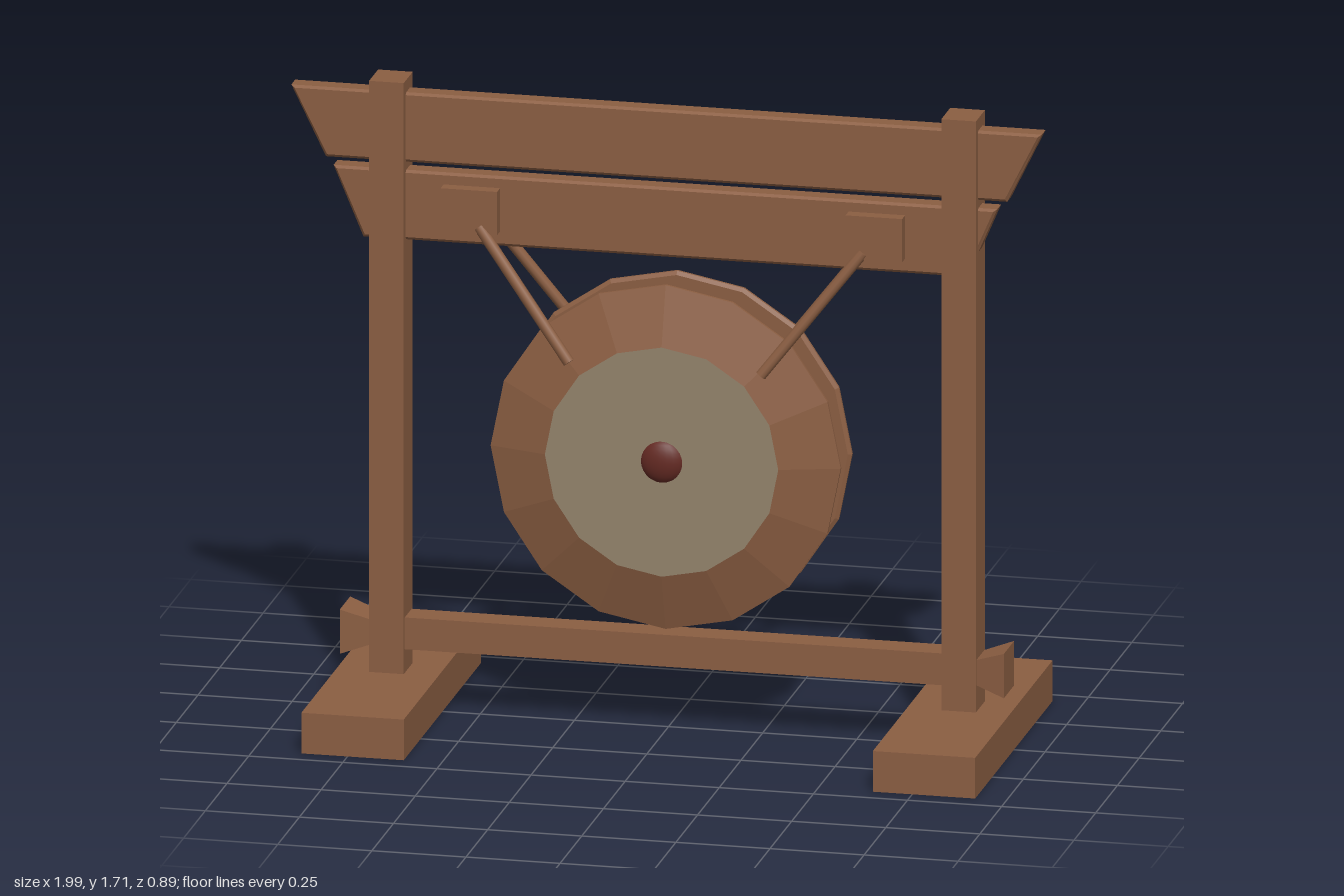
import * as THREE from 'three';

export function createModel() {
  const root = new THREE.Group();
  root.name = 'hangingGong';

  const mat = (name, color, side = THREE.FrontSide) => {
    const m = new THREE.MeshStandardMaterial({ color, side });
    m.name = name;
    return m;
  };
  const wood = mat('wood', 0x8b5e42, THREE.DoubleSide);
  const hide = mat('paleFace', 0x93836c);
  const red = mat('darkRed', 0x642a23);

  const add = (parent, name, geometry, material, x = 0, y = 0, z = 0) => {
    const mesh = new THREE.Mesh(geometry, material);
    mesh.name = name;
    mesh.position.set(x, y, z);
    parent.add(mesh);
    return mesh;
  };
  const flat = (geometry) => {
    const g = geometry.index ? geometry.toNonIndexed() : geometry;
    g.computeVertexNormals();
    return g;
  };

  // Foot: box with an open underside
  const footGeometry = () => {
    const g = new THREE.BoxGeometry(0.272, 0.11, 0.892);
    const index = Array.from(g.index.array);
    index.splice(18, 6);
    g.setIndex(index);
    g.clearGroups();
    return g;
  };

  // Rail end: block that flares outwards along +x
  const flareGeometry = () => {
    const g = new THREE.BoxGeometry(0.08, 0.12, 0.12);
    const p = g.attributes.position;
    for (let i = 0; i < p.count; i++) {
      if (p.getX(i) < 0) p.setXYZ(i, p.getX(i), p.getY(i) * 0.55, p.getZ(i) * 0.75);
    }
    return flat(g);
  };

  // Beam: trapezoid board with bevelled edges, wider at the top
  const beamGeometry = (topHalf, bottomHalf, y0, y1) => {
    const b = 0.008;
    const s = new THREE.Shape([
      new THREE.Vector2(-bottomHalf + b, y0 + b),
      new THREE.Vector2(bottomHalf - b, y0 + b),
      new THREE.Vector2(topHalf - 1.6 * b, y1 - b),
      new THREE.Vector2(-topHalf + 1.6 * b, y1 - b),
    ]);
    const g = new THREE.ExtrudeGeometry(s, {
      depth: 0.044, bevelEnabled: true, bevelSize: b, bevelThickness: b, bevelSegments: 1,
    });
    g.translate(0, 0, -0.022);
    return g;
  };

  // Frame
  const cx = 0.0225;
  const frame = new THREE.Group();
  frame.name = 'frame';
  root.add(frame);
  add(frame, 'upperBeam', beamGeometry(1, 0.908, 1.488, 1.678), wood);
  add(frame, 'lowerBeam', beamGeometry(0.885, 0.805, 1.278, 1.468), wood, -0.003);
  add(frame, 'bottomRail', new THREE.BoxGeometry(1.6, 0.086, 0.08), wood, cx, 0.217, 0);
  for (const s of [-1, 1]) {
    add(frame, 'foot', footGeometry(), wood, cx + s * 0.759, 0.055, 0);
    add(frame, 'post', new THREE.BoxGeometry(0.092, 1.6, 0.104), wood, cx + s * 0.76, 0.909, 0);
    const flare = add(frame, 'railEnd', flareGeometry(), wood, cx + s * 0.842, 0.216, 0);
    if (s < 0) flare.rotation.y = Math.PI;
    add(frame, 'hangerBlock', new THREE.BoxGeometry(0.15, 0.117, 0.134), wood, cx + s * 0.538, 1.377, -0.002);
  }

  // Gong: two sixteen-sided shells back to back, each with a face and a boss
  const profile = [[0, 0.056], [0.455, 0.056], [0.465, 0.062], [0.465, 0.07], [0.31, 0.117]]
    .map(([r, h]) => new THREE.Vector2(r, h));
  for (const s of [1, -1]) {
    const shell = new THREE.Group();
    shell.name = s > 0 ? 'frontGong' : 'backGong';
    shell.position.set(0.008, 0.75, -0.002);
    if (s < 0) shell.rotation.y = Math.PI;
    root.add(shell);
    add(shell, 'gongShell', flat(new THREE.LatheGeometry(profile, 16).rotateX(Math.PI / 2)), wood);
    add(shell, 'gongFace', new THREE.CircleGeometry(0.31, 16), hide, 0, 0, 0.117);
    const boss = add(shell, 'boss', new THREE.SphereGeometry(0.06, 20, 14), red, 0, 0, 0.105);
    boss.scale.z = 0.53;
  }

  // Cords from the hanger blocks to the gong
  const up = new THREE.Vector3(0, 1, 0);
  for (const sx of [-1, 1]) {
    for (const sz of [-1, 1]) {
      const a = new THREE.Vector3(0.017 + sx * 0.255, 1.003, sz * 0.116);
      const b = new THREE.Vector3(0.02 + sx * 0.51, 1.335, sz * 0.056);
      const dir = b.clone().sub(a);
      const mid = a.clone().add(b).multiplyScalar(0.5);
      const cord = add(root, 'cord', new THREE.CylinderGeometry(0.015, 0.015, dir.length(), 10), wood, mid.x, mid.y, mid.z);
      cord.quaternion.setFromUnitVectors(up, dir.normalize());
    }
  }
  return root;
}
